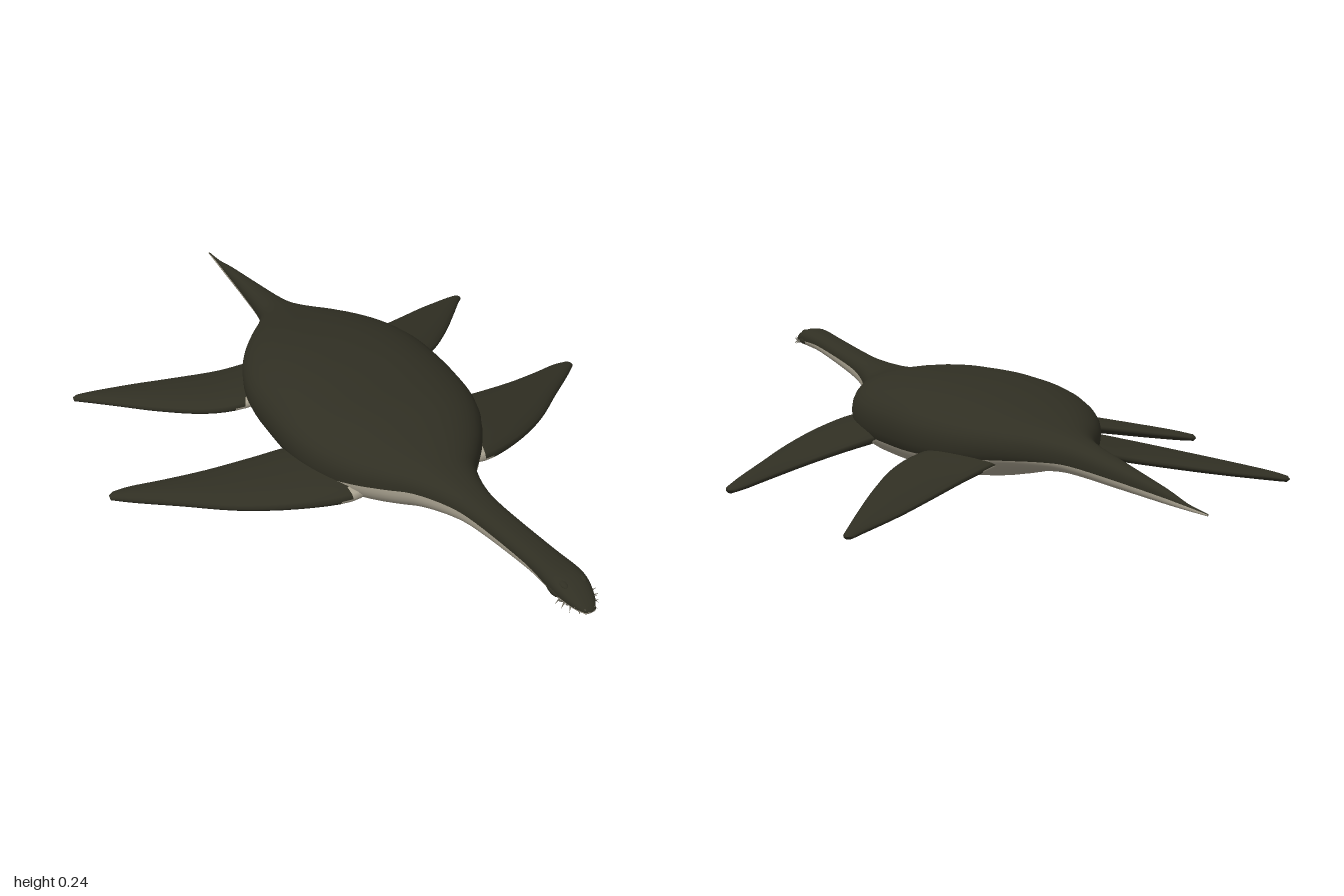
import * as THREE from 'three';

const mat = (name, color) => {
  const m = new THREE.MeshStandardMaterial({ color });
  m.name = name;
  return m;
};

// Skin closed rings of points; isBelly(i, j) picks the second material for a quad
function loft(rings, isBelly, flip = false) {
  const n = rings[0].length, faces = [[], []];
  for (let i = 0; i < rings.length - 1; i++) {
    for (let j = 0; j < n; j++) {
      const a = i * n + j, b = i * n + (j + 1) % n, c = a + n, d = b + n;
      faces[isBelly(i, j) ? 1 : 0].push(...(flip ? [a, b, c, b, d, c] : [a, c, b, b, c, d]));
    }
  }
  const g = new THREE.BufferGeometry();
  g.setAttribute('position', new THREE.Float32BufferAttribute(rings.flat(2), 3));
  g.setIndex([...faces[0], ...faces[1]]);
  g.addGroup(0, faces[0].length, 0);
  g.addGroup(faces[0].length, faces[1].length, 1);
  g.computeVertexNormals();
  return g;
}

// Smooth curve through 3-number stations
const spline = (pts) => new THREE.CatmullRomCurve3(pts.map(p => new THREE.Vector3(...p)), false, 'catmullrom', 0.5);

// Body stations: z, half width, underside y, back y, colour boundary y
const BODY = [
  [0.995, 0.014, 0.204, 0.217, 0.211], [0.97, 0.028, 0.201, 0.232, 0.213], [0.93, 0.039, 0.199, 0.247, 0.217],
  [0.89, 0.041, 0.197, 0.25, 0.217], [0.8, 0.037, 0.187, 0.24, 0.212], [0.6, 0.04, 0.15, 0.215, 0.185],
  [0.5, 0.052, 0.124, 0.207, 0.168], [0.4, 0.085, 0.09, 0.205, 0.148], [0.34, 0.128, 0.067, 0.209, 0.135],
  [0.27, 0.178, 0.045, 0.22, 0.122], [0.18, 0.224, 0.028, 0.236, 0.107], [0.08, 0.246, 0.02, 0.243, 0.095],
  [-0.05, 0.25, 0.019, 0.246, 0.09], [-0.18, 0.242, 0.023, 0.238, 0.09], [-0.3, 0.203, 0.04, 0.218, 0.095],
  [-0.4, 0.14, 0.067, 0.193, 0.102], [-0.48, 0.075, 0.079, 0.173, 0.106], [-0.55, 0.044, 0.081, 0.159, 0.107],
  [-0.7, 0.026, 0.08, 0.136, 0.102], [-0.85, 0.013, 0.08, 0.112, 0.096], [-0.93, 0.006, 0.081, 0.095, 0.091],
  [-1, 0.002, 0.083, 0.088, 0.087],
];

function bodyGeometry() {
  const M = 20, E = 0.85, steps = (BODY.length - 1) * 4;
  const low = spline(BODY.map(s => [s[1], s[2], s[0]]));
  const high = spline(BODY.map(s => [s[4], s[3], s[0]]));
  const pow = (v, e) => Math.sign(v) * Math.abs(v) ** e;
  const rings = [];
  for (let i = 0; i <= steps; i++) {
    const A = low.getPoint(i / steps), B = high.getPoint(i / steps);
    const c = (A.y + B.y) / 2, h = (B.y - A.y) / 2;
    const a0 = Math.asin(pow(THREE.MathUtils.clamp((B.x - c) / h, -0.95, 0.95), 1 / E));
    const ring = [];
    for (let j = 0; j < 2 * M; j++) {
      const a = j < M
        ? a0 + (Math.PI - 2 * a0) * j / M
        : Math.PI - a0 + (Math.PI + 2 * a0) * (j - M) / M;
      ring.push([A.x * pow(Math.cos(a), E), c + h * pow(Math.sin(a), E), A.z]);
    }
    rings.push(ring);
  }
  // Close snout and tail tip
  const cap = (z, y) => Array.from({ length: 2 * M }, () => [0, y, z]);
  rings.unshift(cap(1, 0.21));
  rings.push(cap(-1, 0.085));
  return loft(rings, (i, j) => j >= M);
}

// Flipper stations: leading x, z, trailing x, z, centre y, half thickness
const FRONT = [
  [0.1, 0.265, 0.1, 0.06, 0.098, 0.03], [0.18, 0.287, 0.22, 0.025, 0.091, 0.032], [0.3, 0.24, 0.32, 0.005, 0.077, 0.027],
  [0.42, 0.16, 0.43, -0.02, 0.06, 0.022], [0.53, 0.06, 0.53, -0.05, 0.045, 0.018],
  [0.61, -0.012, 0.605, -0.076, 0.034, 0.014], [0.66, -0.06, 0.645, -0.083, 0.027, 0.009],
];
const REAR = [
  [0.12, -0.2, 0.08, -0.365, 0.098, 0.026], [0.24, -0.2, 0.15, -0.387, 0.085, 0.026], [0.33, -0.245, 0.23, -0.412, 0.068, 0.023],
  [0.42, -0.335, 0.34, -0.462, 0.049, 0.02], [0.5, -0.43, 0.44, -0.508, 0.033, 0.016],
  [0.56, -0.505, 0.53, -0.541, 0.02, 0.012], [0.587, -0.537, 0.57, -0.555, 0.013, 0.008],
];

function flipperGeometry(stations, side) {
  const N = 20, steps = (stations.length - 1) * 4;
  const lead = spline(stations.map(s => [s[0], s[4], s[1]]));
  const trail = spline(stations.map(s => [s[2], s[5], s[3]]));
  const rings = [];
  for (let i = 0; i <= steps; i++) {
    const L = lead.getPoint(i / steps), T = trail.getPoint(i / steps);
    const ring = [];
    for (let j = 0; j < N; j++) {
      const a = j / N * Math.PI * 2, k = (1 + Math.cos(a)) / 2;
      // Blunt leading edge, thin trailing edge
      const y = L.y + T.y * Math.sin(a) * (0.75 + 0.35 * k);
      ring.push([side * (T.x + (L.x - T.x) * k), y, T.z + (L.z - T.z) * k]);
    }
    rings.push(ring);
  }
  const t = stations[stations.length - 1];
  rings.push(rings[0].map(() => [side * ((t[0] + t[2]) / 2 + 0.006), t[4], (t[1] + t[3]) / 2 - 0.005]));
  // Pale patch under the flipper root
  return loft(rings, (i, j) => i < 5 && (j >= N / 2 || (j < 2 && i < 4)), side < 0);
}

export function createModel() {
  const model = new THREE.Group();
  const dark = mat('darkOlive', 0x302f23);
  const pale = mat('paleBelly', 0xaaa391);
  const tooth = mat('toothGrey', 0x757164);
  const add = (name, geo, material, parent = model) => {
    const m = new THREE.Mesh(geo, material);
    m.name = name;
    parent.add(m);
    return m;
  };

  add('body', bodyGeometry(), [dark, pale]);
  for (const side of [1, -1]) {
    const label = side > 0 ? 'left' : 'right';
    add(label + 'FrontFlipper', flipperGeometry(FRONT, side), [dark, pale]);
    add(label + 'RearFlipper', flipperGeometry(REAR, side), [dark, pale]);

    // Brow ridge and jaw bulge
    const brow = add(label + 'Brow', new THREE.SphereGeometry(0.01, 12, 8), dark);
    brow.position.set(side * 0.022, 0.238, 0.925);
    brow.scale.set(1, 0.8, 1.8);
    const jaw = add(label + 'Jaw', new THREE.SphereGeometry(0.01, 12, 8), dark);
    jaw.position.set(side * 0.035, 0.217, 0.91);
    jaw.scale.set(0.8, 1, 2.4);

    // Splayed teeth, alternating up and down along the jaw
    const teeth = new THREE.Group();
    teeth.name = label + 'Teeth';
    model.add(teeth);
    for (let i = 0; i < 8; i++) {
      const k = i / 7;
      const dir = new THREE.Vector3(side * (1 - 0.75 * k), i % 2 ? 0.6 : -0.6, 0.25 + 0.6 * k).normalize();
      const t = add('tooth', new THREE.ConeGeometry(0.003, 0.02, 5), tooth, teeth);
      t.quaternion.setFromUnitVectors(new THREE.Vector3(0, 1, 0), dir);
      t.position.set(side * (0.036 - 0.026 * k * k), 0.212, 0.935 + 0.052 * k).addScaledVector(dir, 0.005);
    }
  }
  return model;
}
